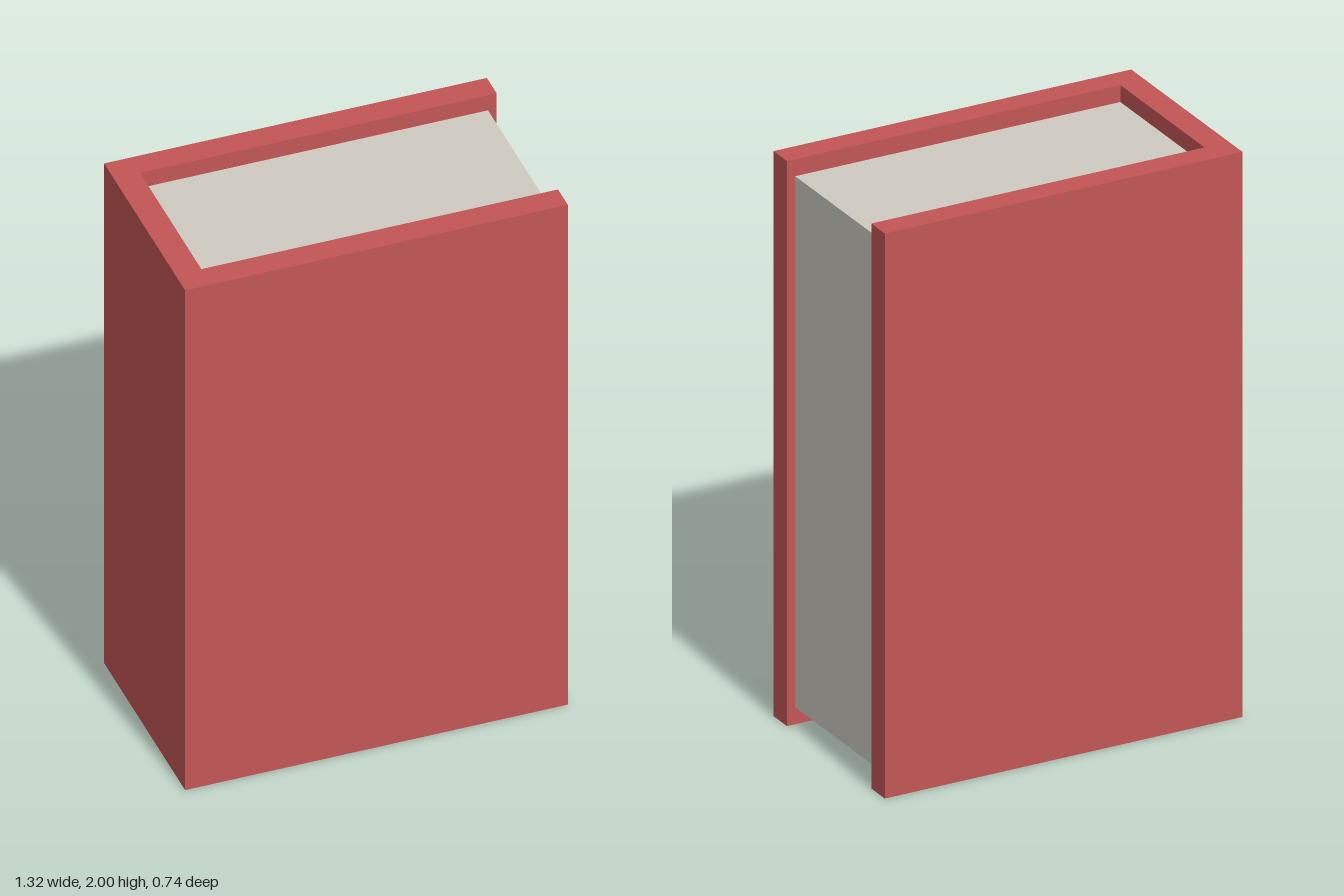
import * as THREE from 'three';

export function createModel() {
  const coverRed = new THREE.MeshStandardMaterial({ color: 0xc45656 });
  coverRed.name = 'cover red';
  const paper = new THREE.MeshStandardMaterial({ color: 0xcfcbc2 });
  paper.name = 'paper';

  const halfWidth = 0.66, halfDepth = 0.37, height = 2, board = 0.09;
  const spineInner = -halfWidth + board, boardInner = halfDepth - board;
  const pageEdge = 0.63, inset = 0.06;

  const book = new THREE.Group();
  book.name = 'book';

  // Cover: U-shaped outline of spine and two boards, extruded upwards
  const outline = new THREE.Shape([
    [-halfWidth, -halfDepth], [halfWidth, -halfDepth],
    [halfWidth, -boardInner], [spineInner, -boardInner],
    [spineInner, boardInner], [halfWidth, boardInner],
    [halfWidth, halfDepth], [-halfWidth, halfDepth],
  ].map(([x, y]) => new THREE.Vector2(x, y)));
  const coverGeometry = new THREE.ExtrudeGeometry(outline, { depth: height, bevelEnabled: false });
  coverGeometry.rotateX(-Math.PI / 2);
  const cover = new THREE.Mesh(coverGeometry, coverRed);
  cover.name = 'cover';

  // Page block, set in from the top, bottom and fore edge
  const pages = new THREE.Mesh(
    new THREE.BoxGeometry(pageEdge - spineInner, height - 2 * inset, 2 * boardInner), paper);
  pages.position.set((pageEdge + spineInner) / 2, height / 2, 0);
  pages.name = 'pages';

  book.add(cover, pages);
  return book;
}
